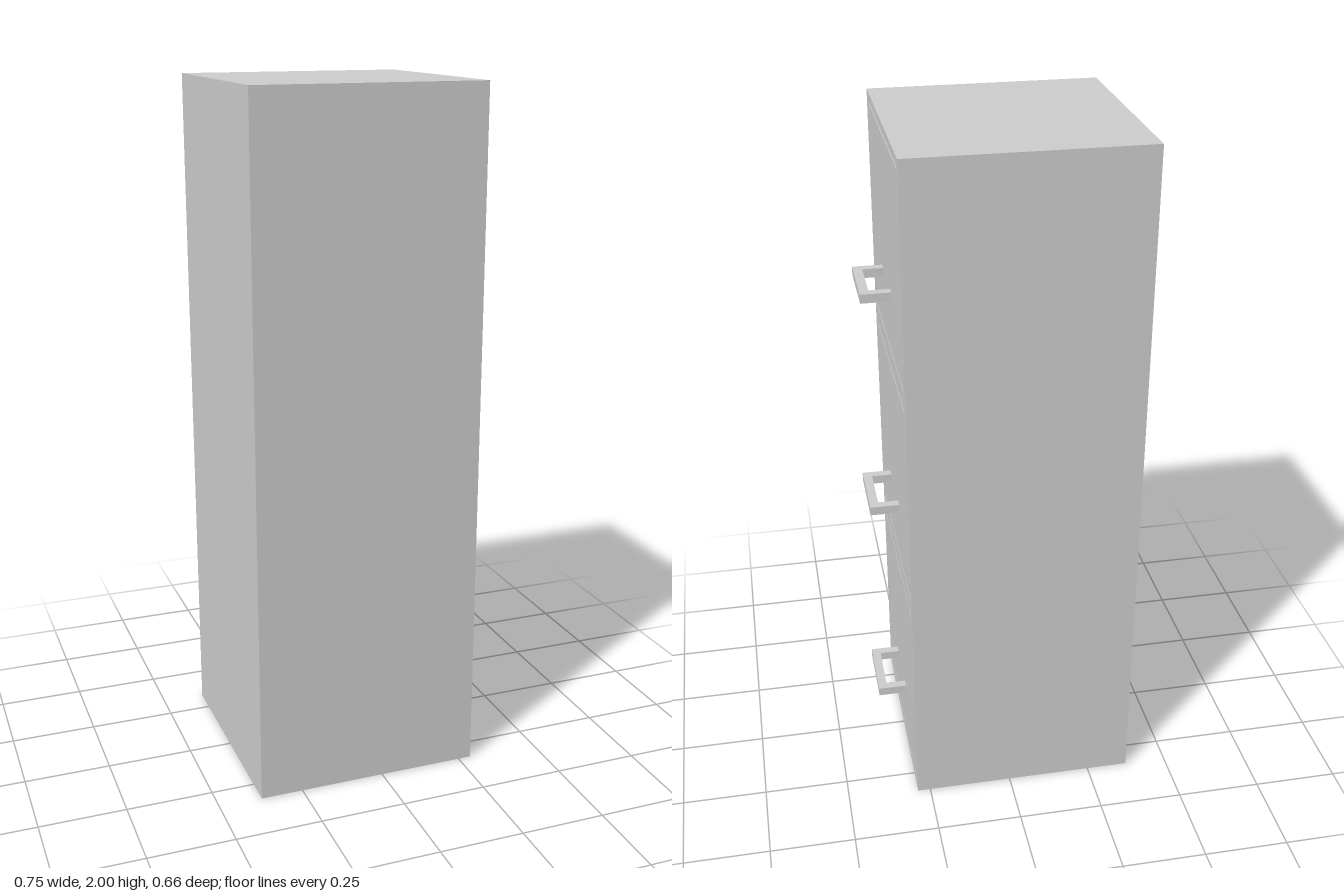
import * as THREE from 'three';

const BACK = -0.374, FRONT = 0.288, HALF = 0.331, HEIGHT = 2;
const BACK_PANEL = 0.03, GAP = 0.006;
const DRAWER_CENTRES = [0.335, 1.002, 1.669];
const OPENING_HALF = 0.306;

const material = new THREE.MeshStandardMaterial({ color: 0xcccccc, flatShading: true });

function addMesh(parent, name, geometry) {
  const mesh = new THREE.Mesh(geometry, material);
  mesh.name = name;
  parent.add(mesh);
  return mesh;
}

function rectangle(target, x0, y0, x1, y1) {
  target.moveTo(x0, y0);
  target.lineTo(x1, y0);
  target.lineTo(x1, y1);
  target.lineTo(x0, y1);
  target.closePath();
  return target;
}

// Cabinet shell with three drawer openings facing +x, closed by a back panel
function buildCabinet() {
  const cabinet = new THREE.Group();
  cabinet.name = 'cabinet';
  const shape = rectangle(new THREE.Shape(), -HALF, 0, HALF, HEIGHT);
  for (const y of DRAWER_CENTRES) {
    shape.holes.push(rectangle(new THREE.Path(), -OPENING_HALF, y - OPENING_HALF, OPENING_HALF, y + OPENING_HALF));
  }
  const shell = new THREE.ExtrudeGeometry(shape, { depth: FRONT - BACK - BACK_PANEL, bevelEnabled: false });
  shell.rotateY(Math.PI / 2).translate(BACK + BACK_PANEL, 0, 0);
  addMesh(cabinet, 'shell', shell);
  addMesh(cabinet, 'backPanel', new THREE.BoxGeometry(BACK_PANEL, HEIGHT, HALF * 2))
    .position.set(BACK + BACK_PANEL / 2, HEIGHT / 2, 0);
  return cabinet;
}

// Square-section U-shaped pull, centred in height, starting at x = 0
function handleGeometry() {
  const reach = 0.085, half = 0.103, bar = 0.026;
  const shape = new THREE.Shape([
    [0, -half], [reach, -half], [reach, half], [0, half],
    [0, half - bar], [reach - bar, half - bar], [reach - bar, bar - half], [0, bar - half],
  ].map(([x, y]) => new THREE.Vector2(x, y)));
  return new THREE.ExtrudeGeometry(shape, { depth: bar, bevelEnabled: false })
    .rotateX(-Math.PI / 2).translate(0, -bar / 2, 0);
}

export function createModel() {
  const model = new THREE.Group();
  model.name = 'filingCabinet';
  model.add(buildCabinet());

  // Drawers sit flush with the front, a thin gap all round
  const size = (OPENING_HALF - GAP) * 2;
  const depth = FRONT - BACK - BACK_PANEL - GAP;
  const drawerGeometry = new THREE.BoxGeometry(depth, size, size);
  const pull = handleGeometry();
  DRAWER_CENTRES.forEach((y, i) => {
    const drawer = new THREE.Group();
    drawer.name = `drawer${i + 1}`;
    drawer.position.set(FRONT, y, 0);
    addMesh(drawer, 'drawerBox', drawerGeometry).position.x = -depth / 2;
    addMesh(drawer, 'handle', pull).position.y = -0.118;
    model.add(drawer);
  });
  return model;
}
